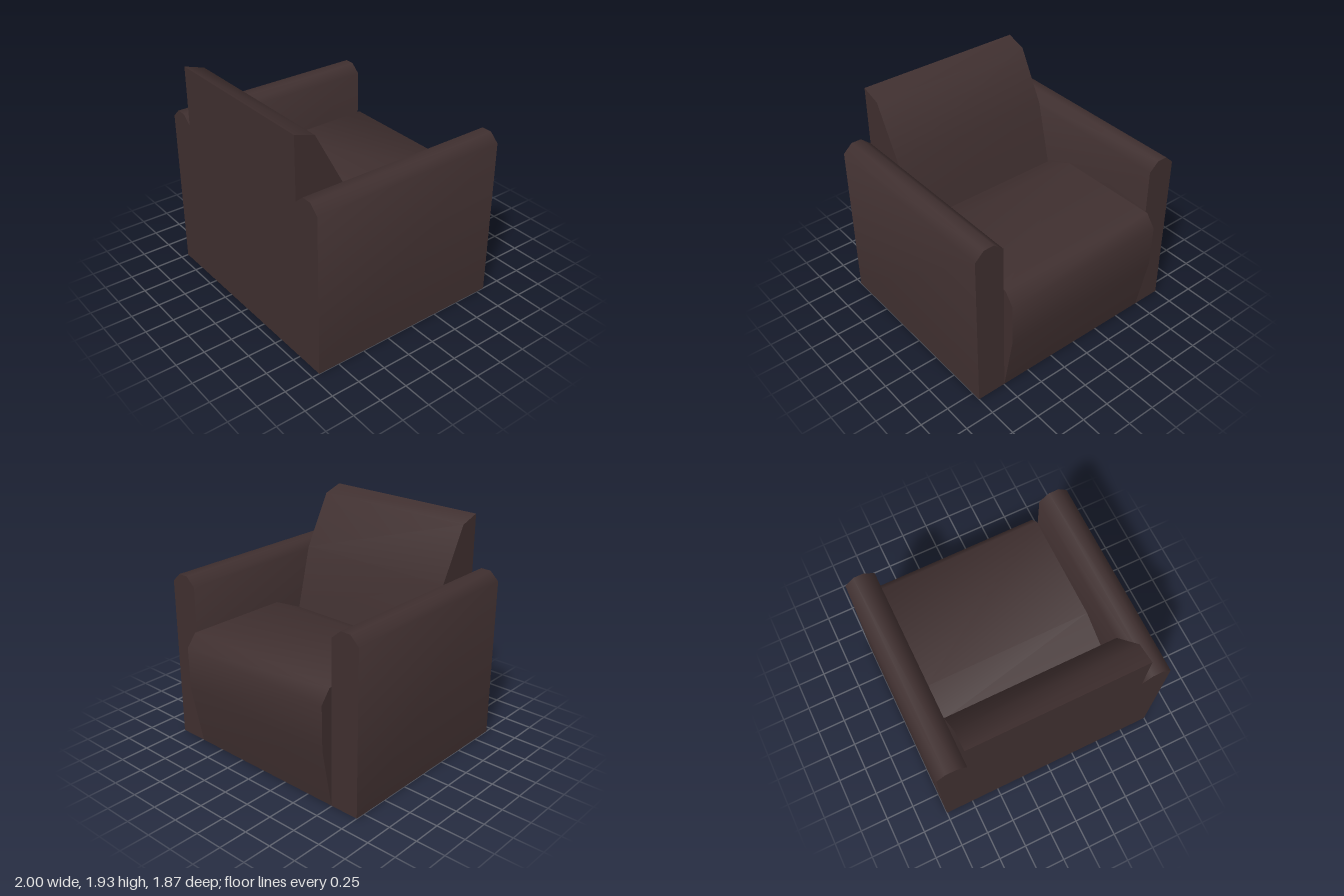
import * as THREE from 'three';
import { toCreasedNormals } from 'three/addons/utils/BufferGeometryUtils.js';

const upholstery = new THREE.MeshStandardMaterial({ color: 0x3f2f2f });
upholstery.name = 'darkBrownUpholstery';

// Extrude a closed outline, centred on its depth, keeping gentle bends smooth
function extrudeOutline(points, depth) {
  const shape = new THREE.Shape(points.map(([a, b]) => new THREE.Vector2(a, b)));
  const geometry = new THREE.ExtrudeGeometry(shape, { depth, bevelEnabled: false });
  geometry.translate(0, 0, -depth / 2);
  return geometry;
}

function addPart(group, name, geometry) {
  const mesh = new THREE.Mesh(toCreasedNormals(geometry, THREE.MathUtils.degToRad(60)), upholstery);
  mesh.name = name;
  group.add(mesh);
}

export function createModel() {
  const chair = new THREE.Group();
  chair.name = 'armchair';
  const innerX = 0.745, frontZ = -0.83, backZ = 0.935;

  // Seat and backrest: one side outline as [z, y], swept across the width
  const body = extrudeOutline([
    [frontZ, 0], [-0.93, 0.53], [-0.935, 0.91], [-0.85, 1.02], // bulging seat front
    [0.1, 1.01], [0.385, 0.88],                                // seat top dipping to the crease
    [0.52, 1.43], [0.76, 1.88], [backZ, 1.935], [backZ, 0],    // leaning backrest
  ], innerX * 2);
  body.rotateY(-Math.PI / 2);
  addPart(chair, 'seatAndBackrest', body);

  // Armrests: chamfered front outline as [x, y], swept along the depth
  for (const [name, side] of [['leftArmrest', 1], ['rightArmrest', -1]]) {
    const arm = extrudeOutline([
      [innerX, 0], [1, 0], [1, 1.41], [0.92, 1.485], [0.83, 1.485], [innerX, 1.41],
    ].map(([x, y]) => [x * side, y]), backZ - frontZ);
    arm.translate(0, 0, (backZ + frontZ) / 2);
    addPart(chair, name, arm);
  }
  return chair;
}
